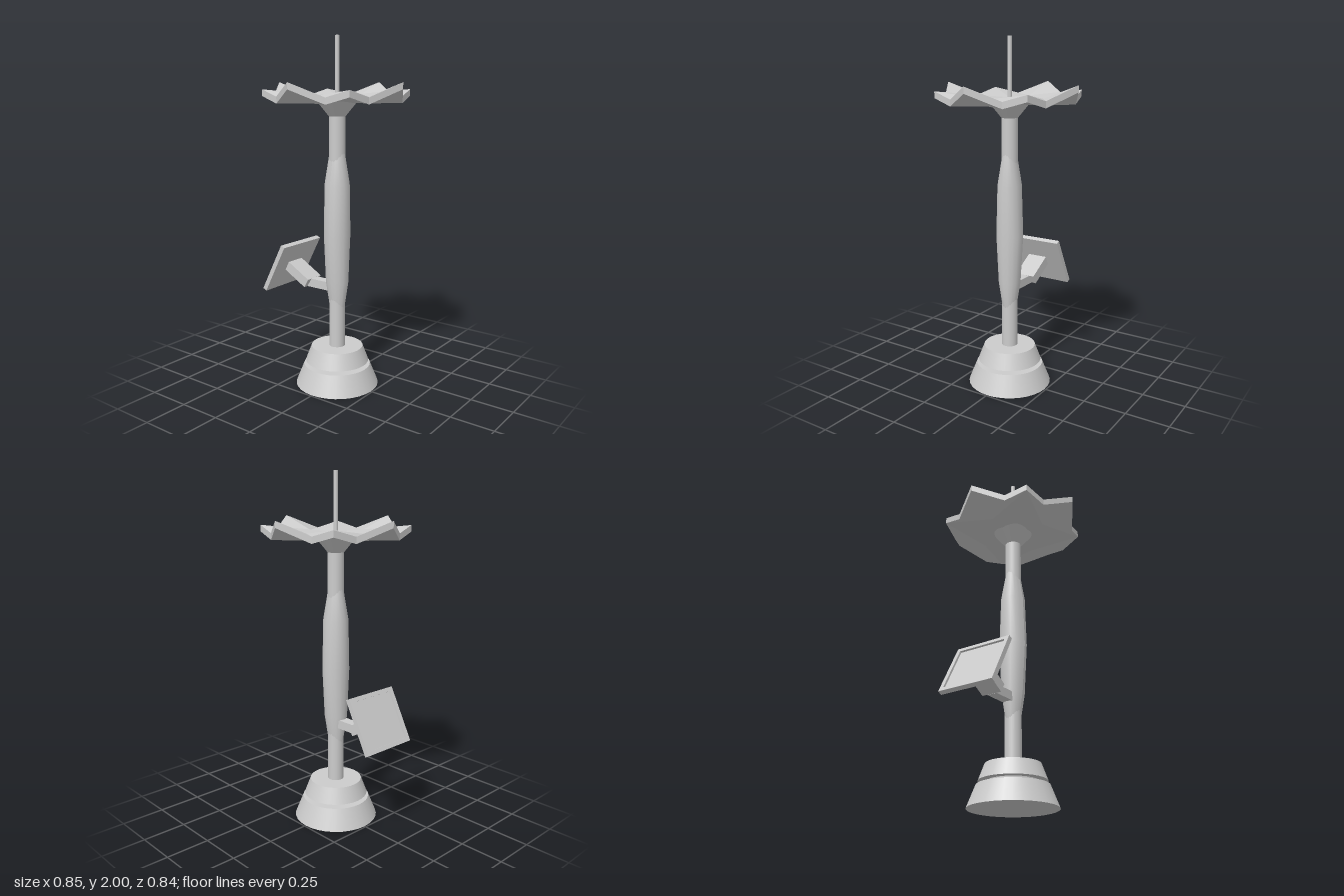
import * as THREE from 'three';

const mat = new THREE.MeshStandardMaterial({ color: 0xcccccc });
const flat = new THREE.MeshStandardMaterial({ color: 0xcccccc, flatShading: true });

export function createModel() {
  const model = new THREE.Group();
  model.name = 'postWithCanopy';

  const add = (name, geometry, material = mat, parent = model) => {
    const mesh = new THREE.Mesh(geometry, material);
    mesh.name = name;
    parent.add(mesh);
    return mesh;
  };
  // Upright round part between two heights
  const round = (name, r0, r1, y0, y1, sides = 32) => {
    const mesh = add(name, new THREE.CylinderGeometry(r1, r0, y1 - y0, sides));
    mesh.position.y = (y0 + y1) / 2;
  };
  const box = (name, w, h, d, x, y, parent = model) => {
    const mesh = add(name, new THREE.BoxGeometry(w, h, d), mat, parent);
    mesh.position.set(x, y, 0);
    return mesh;
  };

  // Stepped base, post, collar and mast
  round('baseFoot', 0.242, 0.194, 0, 0.12);
  round('baseGroove', 0.14, 0.14, 0.11, 0.15);
  round('baseCap', 0.184, 0.15, 0.14, 0.23);
  round('post', 0.046, 0.046, 0.22, 1.58);
  round('collar', 0.046, 0.128, 1.565, 1.665);
  round('mast', 0.0125, 0.0125, 1.66, 2, 16);

  // Swollen sleeve, slightly oval: deeper at the middle, shallower at its ends
  const profile = [[0.045, 0.46], [0.068, 0.62], [0.075, 0.9], [0.074, 1.19], [0.045, 1.37]];
  const sleeve = new THREE.LatheGeometry(profile.map(([r, y]) => new THREE.Vector2(r, y)), 16);
  const p = sleeve.attributes.position;
  for (let i = 0; i < p.count; i++) {
    const middle = Math.max(0, 1 - Math.abs(p.getY(i) - 0.9) / 0.45);
    p.setZ(i, p.getZ(i) * (0.84 + 0.22 * middle));
  }
  sleeve.computeVertexNormals();
  add('sleeve', sleeve);

  add('canopy', canopyGeometry(), flat);

  // Bracket arm and tilted panel
  box('armLower', 0.17, 0.05, 0.06, -0.11, 0.585);
  const upper = box('armUpper', 0.175, 0.058, 0.12, -0.258, 0.629);
  upper.rotation.z = -Math.PI / 6;

  const panel = new THREE.Group();
  panel.name = 'panel';
  panel.position.set(-0.341, 0.675, 0);
  panel.rotation.z = -0.478;
  model.add(panel);
  box('panelBack', 0.016, 0.318, 0.336, 0.0055, 0, panel);
  for (const s of [-1, 1]) {
    box('panelRimLong', 0.013, 0.023, 0.336, -0.007, s * 0.1475, panel);
    box('panelRimShort', 0.013, 0.272, 0.023, -0.007, 0, panel).position.z = s * 0.1565;
  }
  return model;
}

// Eight-pointed folded canopy: one eighth, mirrored and turned, with a lower skin and rim
function canopyGeometry() {
  const thick = 0.036;
  const centre = [0, 1.675, 0], fold = [0.21, 1.675, 0];
  const tip = [0.42, 1.75, 0], notch = [0.32, 1.675, 0.162], corner = [0.29, 1.712, 0.29];
  const out = [];

  for (let quarter = 0; quarter < 4; quarter++) {
    const c = Math.round(Math.cos(quarter * Math.PI / 2));
    const s = Math.round(Math.sin(quarter * Math.PI / 2));
    for (const m of [1, -1]) {
      const place = ([x, y, z], drop = 0) => [c * x + s * m * z, y - drop, c * m * z - s * x];
      const tri = (a, b, d) => out.push(...(m > 0 ? [...a, ...b, ...d] : [...a, ...d, ...b]));
      // Upper and lower skins
      for (const [a, b, d] of [[centre, corner, fold], [fold, corner, notch], [fold, notch, tip]]) {
        tri(place(a), place(b), place(d));
        tri(place(a, thick), place(d, thick), place(b, thick));
      }
      // Rim
      for (const [a, b] of [[tip, notch], [notch, corner]]) {
        tri(place(a), place(b), place(b, thick));
        tri(place(a), place(b, thick), place(a, thick));
      }
    }
  }
  const g = new THREE.BufferGeometry();
  g.setAttribute('position', new THREE.Float32BufferAttribute(out, 3));
  g.computeVertexNormals();
  return g;
}
